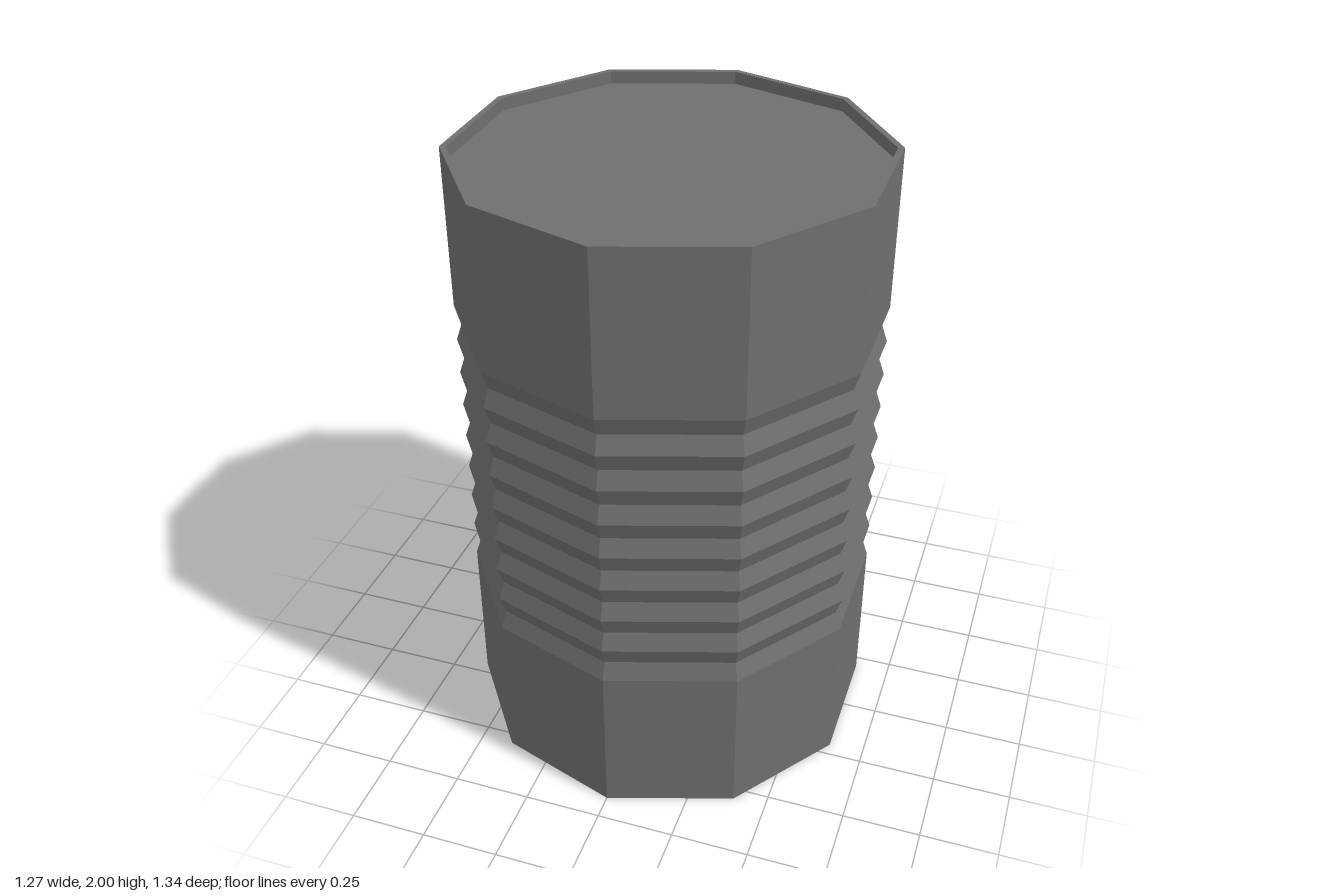
import * as THREE from 'three';

const SIDES = 10;
const R = 0.67;        // outer radius at the corners
const R_IN = 0.65;     // groove bottoms and inside of the rims
const RECESS = 0.04;   // depth of the sunken lids
const H = 2;

// Revolves a list of [radius, y] points (running upward) into a faceted surface.
function lathe(name, points, material) {
  const geometry = new THREE.LatheGeometry(points.map(([r, y]) => new THREE.Vector2(r, y)), SIDES);
  const mesh = new THREE.Mesh(geometry, material);
  mesh.name = name;
  return mesh;
}

export function createModel() {
  const group = new THREE.Group();
  group.name = 'ribbedCan';
  const darkGrey = new THREE.MeshStandardMaterial({ color: 0x6f6f6f, flatShading: true });

  // Wall with eight V-shaped grooves around the middle, and a thin rim at each end
  const wall = [[R_IN, RECESS], [R_IN, 0], [R, 0]];
  for (let i = 0; i <= 16; i++) wall.push([i % 2 ? R_IN : R, 0.52 + i * 0.06]);
  wall.push([R, H], [R_IN, H], [R_IN, H - RECESS]);
  group.add(lathe('wall', wall, darkGrey));

  // Sunken flat lids
  group.add(lathe('bottomLid', [[0, RECESS], [R_IN, RECESS]], darkGrey));
  group.add(lathe('topLid', [[R_IN, H - RECESS], [0, H - RECESS]], darkGrey));

  return group;
}
